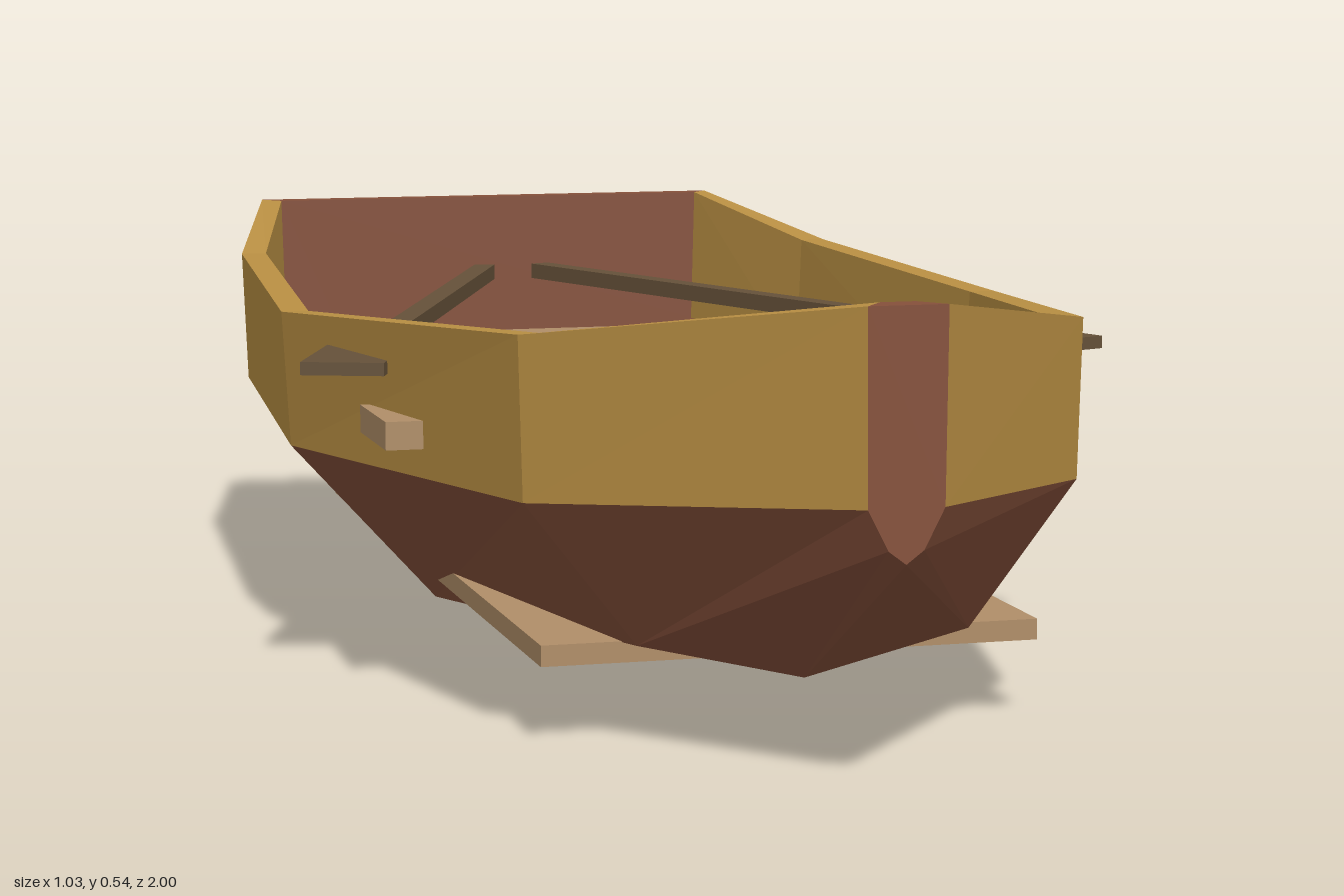
import * as THREE from 'three';

const mat = (name, color) => {
  const m = new THREE.MeshStandardMaterial({ color });
  m.name = name;
  return m;
};

// Half sections, stern to bow: z, then [x, y] of rim, plank edge and chine, then keel height
const STATIONS = [
  [-1, [0.355, 0.505], [0.35, 0.305], [0.21, 0.172], 0.125],
  [-0.65, [0.442, 0.455], [0.435, 0.275], [0.265, 0.092], 0.04],
  [-0.04, [0.487, 0.437], [0.477, 0.263], [0.288, 0.055], 0],
  [0.65, [0.337, 0.48], [0.332, 0.29], [0.2, 0.12], 0.072],
  [1, [0.045, 0.54], [0.043, 0.325], [0.02, 0.28], 0.265],
];
const WALL = 0.035;

// Full ring of seven points, from the left rim under the keel to the right rim
function ring([z, rim, edge, chine, keel], inner) {
  const end = Math.abs(z) === 1;
  const zz = inner && end ? (z > 0 ? 0.965 : -0.97) : z;
  const t = inner ? (end ? 0.025 : WALL) : 0;
  const half = [
    [rim[0] - t, rim[1]],
    [edge[0] - t, edge[1]],
    [chine[0] - t * (z === 1 ? 0.4 : 0.55), chine[1] + (inner ? 0.03 : 0)],
  ];
  const left = half.map(([x, y]) => [x, y, zz]);
  const right = half.map(([x, y]) => [-x, y, zz]).reverse();
  return [...left, [0, keel + (inner ? WALL : 0), zz], ...right];
}

// Flat-faced mesh from a list of convex polygons
function polyMesh(name, polys, material) {
  const pos = [];
  for (const p of polys)
    for (let i = 1; i < p.length - 1; i++) pos.push(...p[0], ...p[i], ...p[i + 1]);
  const g = new THREE.BufferGeometry();
  g.setAttribute('position', new THREE.Float32BufferAttribute(pos, 3));
  g.computeVertexNormals();
  const m = new THREE.Mesh(g, material);
  m.name = name;
  return m;
}

function box(name, size, at, material) {
  const m = new THREE.Mesh(new THREE.BoxGeometry(...size), material);
  m.position.set(...at);
  m.name = name;
  return m;
}

export function createModel() {
  const boat = new THREE.Group();
  boat.name = 'rowingBoat';
  const hullBrown = mat('hullBrown', 0x85503a);
  const plankGold = mat('plankGold', 0xb98f43);
  const benchWood = mat('benchWood', 0xb08e68);
  const oarWood = mat('oarWood', 0x655139);

  const out = STATIONS.map((s) => ring(s, false));
  const inn = STATIONS.map((s) => ring(s, true));

  // Hull shell: top planks separate from the bottom panels
  const planks = [], bottom = [];
  for (let s = 0; s < STATIONS.length - 1; s++) {
    const [o, p, a, b] = [out[s], out[s + 1], inn[s], inn[s + 1]];
    for (let i = 0; i < 6; i++) {
      const list = i === 0 || i === 5 ? planks : bottom;
      list.push([o[i], p[i], p[i + 1], o[i + 1]]);
      list.push([a[i], a[i + 1], b[i + 1], b[i]]);
    }
    // Gunwale lips
    planks.push([o[0], a[0], b[0], p[0]], [o[6], p[6], b[6], a[6]]);
  }
  boat.add(polyMesh('topPlanks', planks, plankGold));
  boat.add(polyMesh('hullBottom', bottom, hullBrown));

  // End boards
  const rev = (r) => [...r].reverse();
  const [so, si, bo, bi] = [out[0], inn[0], out[4], inn[4]];
  boat.add(polyMesh('transom', [so, rev(si), [so[0], so[6], si[6], si[0]]], hullBrown));
  boat.add(polyMesh('stem', [rev(bo), bi, [bo[6], bo[0], bi[0], bi[6]]], hullBrown));

  // Floor and benches
  boat.add(box('floorBoard', [0.604, 0.025, 1.3], [0, 0.105, -0.042], benchWood));
  boat.add(box('frontBench', [0.87, 0.034, 0.16], [0, 0.332, 0.302], benchWood));
  boat.add(box('rearBench', [0.87, 0.034, 0.155], [0, 0.332, -0.437], benchWood));

  // Oars, laid flat with the blades over the sides
  for (const side of [1, -1]) {
    const oar = new THREE.Group();
    oar.name = side > 0 ? 'leftOar' : 'rightOar';
    oar.add(box('shaft', [0.03, 0.022, 0.98], [0, 0, 0.49], oarWood));
    oar.add(box('blade', [0.102, 0.016, 0.256], [0, 0, 1.066], oarWood));
    oar.position.set(side * 0.043, 0.402, -0.826);
    oar.rotation.y = side * 0.365;
    boat.add(oar);
  }
  return boat;
}
